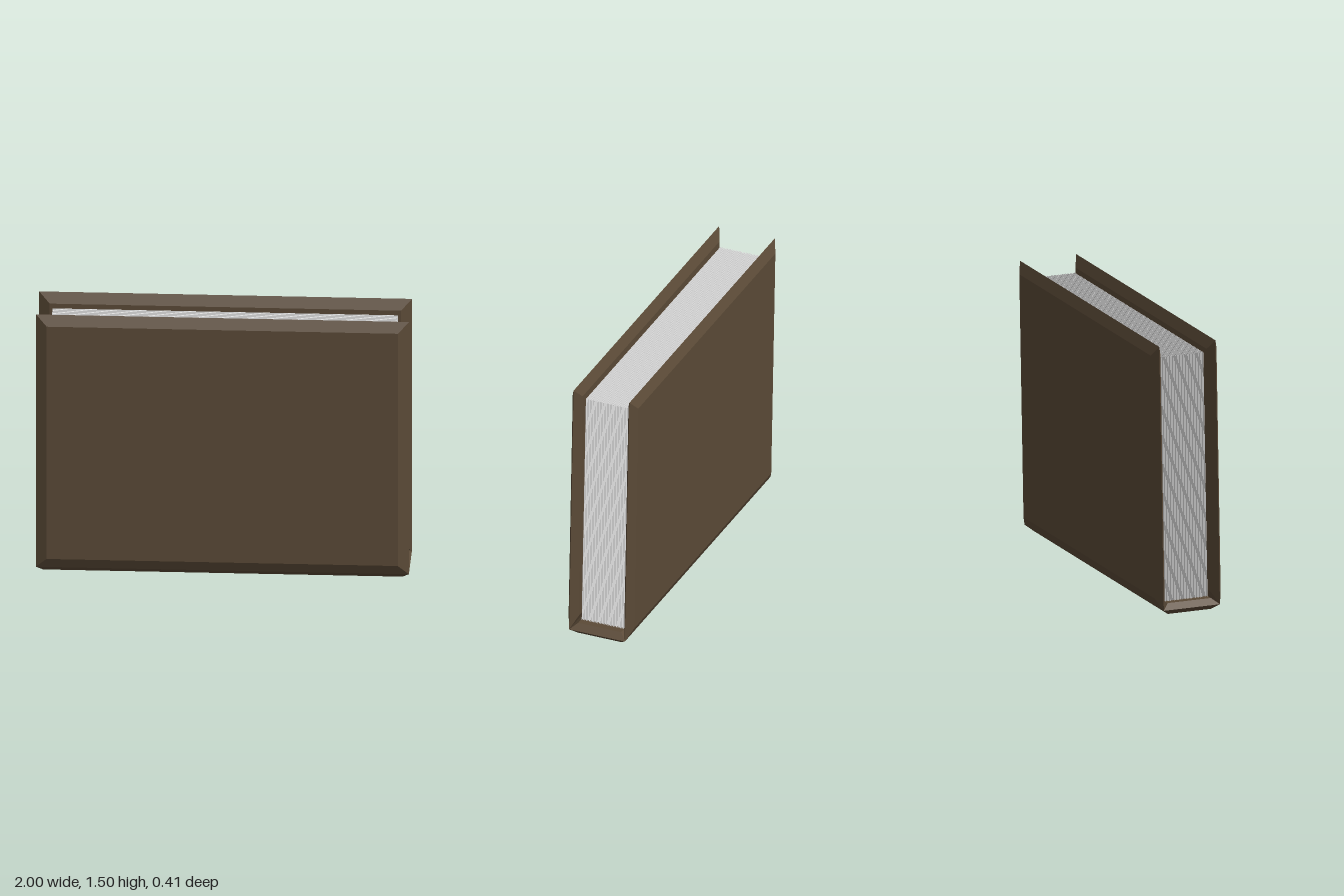
import * as THREE from 'three';

const coverBrown = new THREE.MeshStandardMaterial({ color: 0x5b4a37 });
const pageWhite = new THREE.MeshStandardMaterial({ color: 0xe4e4e4 });

// Board whose edges come to a ridge at mid-thickness; both flat faces are inset
function bevelledBoard(width, height, thickness, inset) {
  const box = new THREE.BoxGeometry(width, height, thickness, 1, 1, 2);
  const p = box.attributes.position;
  for (let i = 0; i < p.count; i++) {
    if (Math.abs(p.getZ(i)) > thickness / 4) {
      p.setX(i, p.getX(i) - Math.sign(p.getX(i)) * inset);
      p.setY(i, p.getY(i) - Math.sign(p.getY(i)) * inset);
    }
  }
  const geometry = box.toNonIndexed();
  geometry.computeVertexNormals();
  return geometry;
}

export function createModel() {
  const model = new THREE.Group();
  model.name = 'book';

  // Everything leans back by about one degree
  const body = new THREE.Group();
  body.name = 'bookBody';
  body.position.y = 0.767;
  body.rotation.x = -0.018;
  model.add(body);

  const add = (parent, name, geometry, material, x, y, z) => {
    const mesh = new THREE.Mesh(geometry, material);
    mesh.name = name;
    mesh.position.set(x, y, z);
    parent.add(mesh);
    return mesh;
  };

  // Covers
  const cover = bevelledBoard(2, 1.462, 0.057, 0.058);
  add(body, 'frontCover', cover, coverBrown, 0, 0, 0.162);
  add(body, 'backCover', cover, coverBrown, 0, 0, -0.162);

  // Spine, lying flat underneath
  const spine = bevelledBoard(2, 0.324, 0.06, 0.037);
  add(body, 'spine', spine, coverBrown, 0, -0.731, 0).rotation.x = Math.PI / 2;

  // Separate page sheets
  const pages = new THREE.Group();
  pages.name = 'pages';
  body.add(pages);
  const count = 30;
  const sheet = new THREE.BoxGeometry(1.85, 1.352, 0.002);
  for (let i = 0; i < count; i++) {
    add(pages, 'page', sheet, pageWhite, 0, -0.025, -0.12 + (0.24 * i) / (count - 1));
  }

  return model;
}
